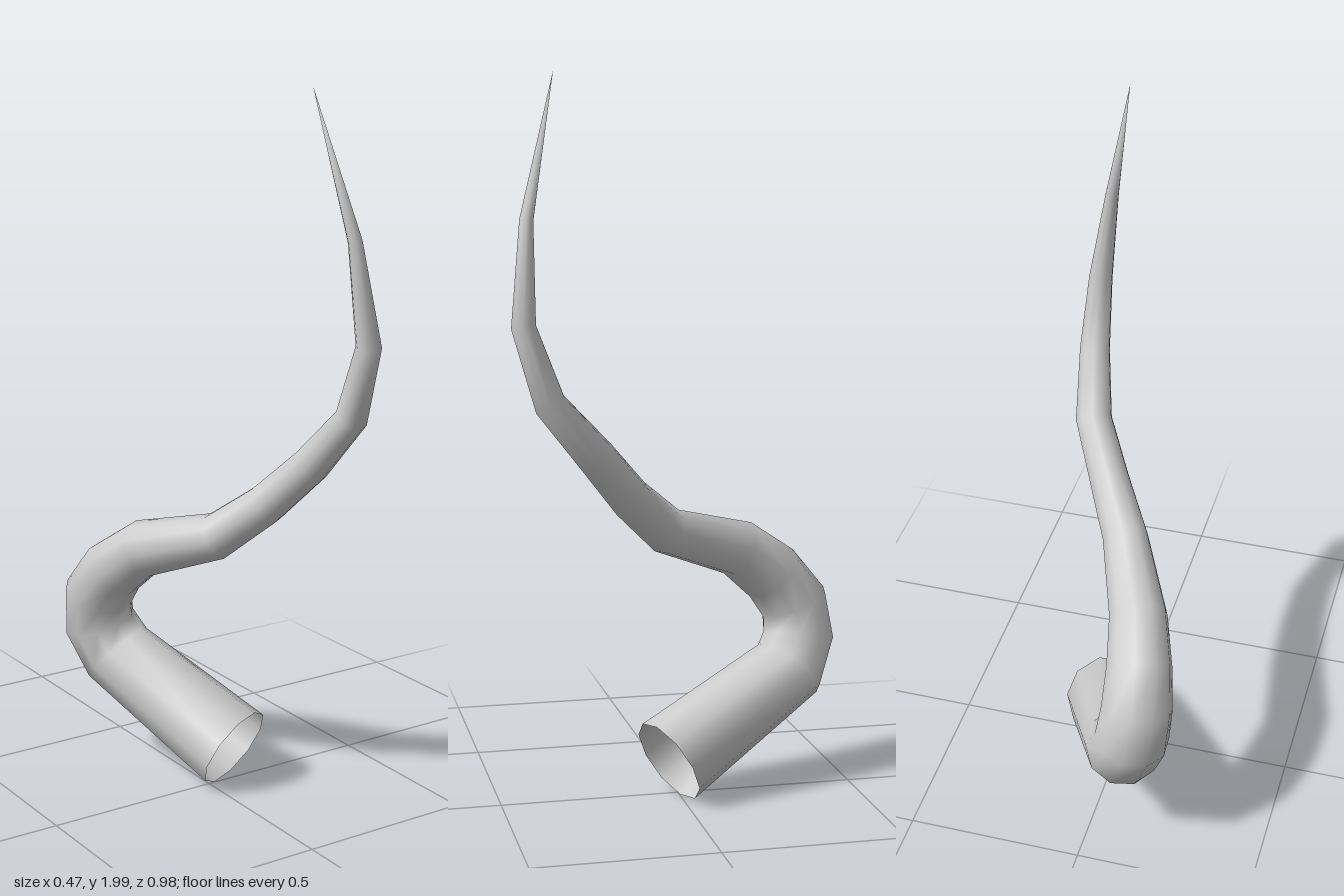
import * as THREE from 'three';
import { mergeVertices } from 'three/addons/utils/BufferGeometryUtils.js';

// Stations along the horn from open base to tip: x, y, z, radius
const STATIONS = [
  [0.06, 0.118, 0.04, 0.126],
  [-0.095, 0.32, -0.345, 0.11],
  [-0.13, 0.41, -0.387, 0.105],
  [-0.14, 0.505, -0.375, 0.1],
  [-0.128, 0.595, -0.305, 0.092],
  [-0.095, 0.68, -0.195, 0.082],
  [0.005, 0.758, 0.033, 0.066],
  [0.085, 0.865, 0.15, 0.058],
  [0.16, 0.99, 0.255, 0.053],
  [0.193, 1.14, 0.385, 0.044],
  [0.193, 1.342, 0.452, 0.034],
  [0.155, 1.615, 0.436, 0.019],
  [0.08, 2.0, 0.35, 0],
];
const SIDES = 10;

// Sweeps an open cylinder along the stations, turning each ring with the path
function sweepHorn() {
  const last = STATIONS.length - 1;
  const centers = STATIONS.map(([x, y, z]) => new THREE.Vector3(x, y, z));
  const directions = centers.slice(1).map((c, i) => c.clone().sub(centers[i]).normalize());

  const turn = new THREE.Quaternion();
  const previous = new THREE.Vector3(0, 1, 0);
  const frames = centers.map((_, i) => {
    const before = directions[Math.max(i - 1, 0)];
    const after = directions[Math.min(i, last - 1)];
    const tangent = before.clone().add(after).normalize();
    turn.premultiply(new THREE.Quaternion().setFromUnitVectors(previous, tangent));
    previous.copy(tangent);
    return turn.clone();
  });

  const geometry = new THREE.CylinderGeometry(0, 1, 1, SIDES, last, true, 0.56);
  const position = geometry.attributes.position;
  const v = new THREE.Vector3();
  for (let i = 0; i < position.count; i++) {
    const ring = last - Math.floor(i / (SIDES + 1));
    const angle = 0.56 + ((i % (SIDES + 1)) / SIDES) * Math.PI * 2;
    v.set(Math.sin(angle), 0, Math.cos(angle)).multiplyScalar(STATIONS[ring][3]);
    v.applyQuaternion(frames[ring]).add(centers[ring]);
    position.setXYZ(i, v.x, v.y, v.z);
  }

  // Weld the seam so the shading runs smoothly all round
  geometry.deleteAttribute('uv');
  geometry.deleteAttribute('normal');
  const welded = mergeVertices(geometry, 1e-5);
  welded.computeVertexNormals();
  return welded;
}

export function createModel() {
  const group = new THREE.Group();
  group.name = 'twistedHorn';
  const material = new THREE.MeshStandardMaterial({ color: 0xcccccc, side: THREE.DoubleSide });
  const horn = new THREE.Mesh(sweepHorn(), material);
  horn.name = 'horn';
  group.add(horn);
  return group;
}
